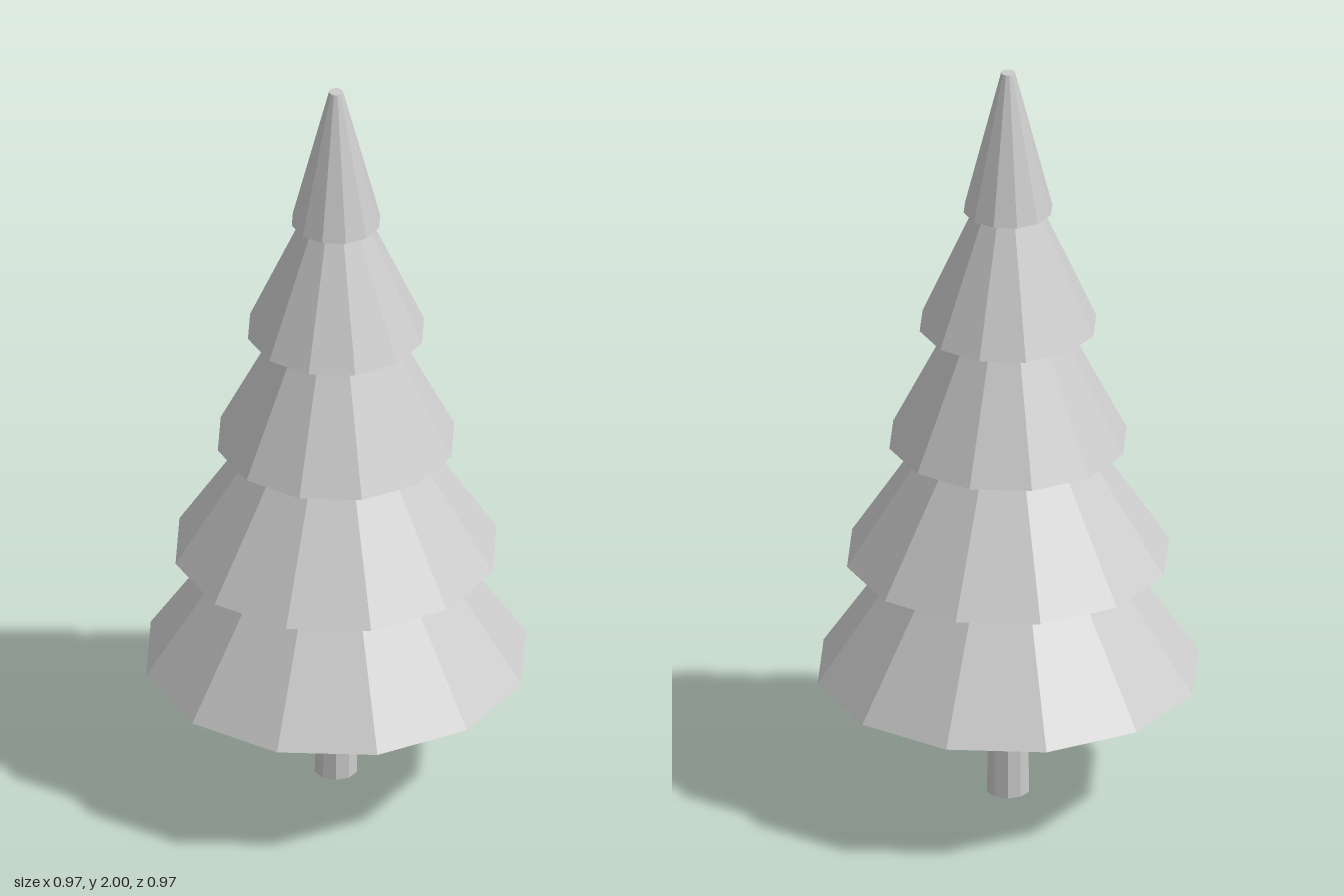
import * as THREE from 'three';

export function createModel() {
  const tree = new THREE.Group();
  tree.name = 'pineTree';

  const paleGrey = new THREE.MeshStandardMaterial({ color: 0xcccccc });
  paleGrey.name = 'paleGrey';
  paleGrey.flatShading = true;

  // A faceted frustum standing on y0, with corners on the x axis
  function frustum(name, rBottom, rTop, y0, y1, sides) {
    const geometry = new THREE.CylinderGeometry(rTop, rBottom, y1 - y0, sides, 1, false, Math.PI / 2);
    const mesh = new THREE.Mesh(geometry, paleGrey);
    mesh.name = name;
    mesh.position.y = (y0 + y1) / 2;
    tree.add(mesh);
  }

  // Trunk, tapering slightly and reaching into the lowest tier
  frustum('trunk', 0.055, 0.05, 0, 0.36, 10);

  // Branch tiers: bottom radius, top radius, bottom y, top y
  const tiers = [
    [0.485, 0.257, 0.34, 0.68],
    [0.41, 0.192, 0.66, 1.0],
    [0.302, 0.132, 0.98, 1.32],
    [0.225, 0.076, 1.3, 1.64],
    [0.113, 0.0175, 1.62, 2.0],
  ];
  tiers.forEach(([rBottom, rTop, y0, y1], i) => {
    frustum('branchTier' + (i + 1), rBottom, rTop, y0, y1, 12);
  });

  return tree;
}
